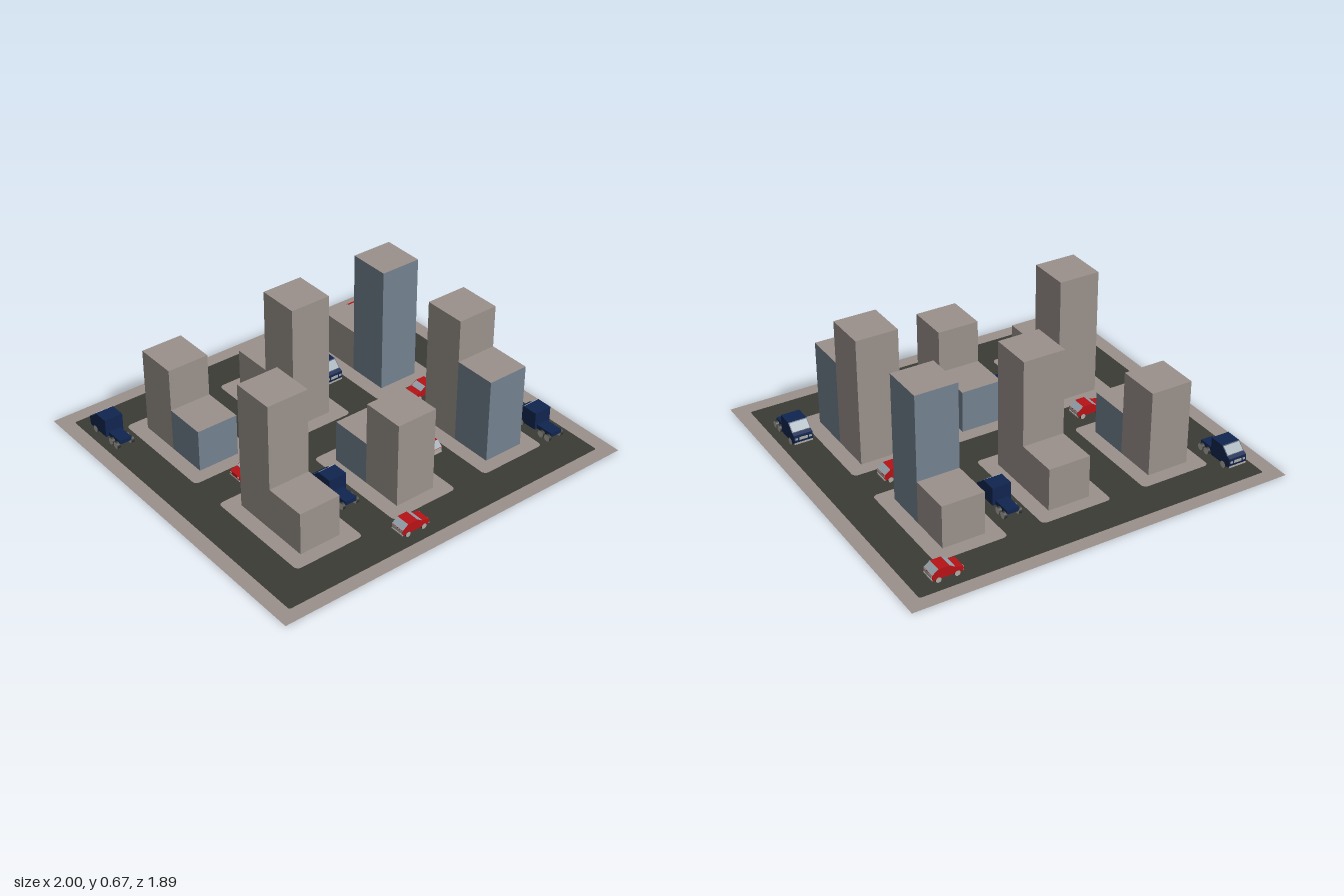
import * as THREE from 'three';

const mat = (name, color, extra = {}) => {
  const m = new THREE.MeshStandardMaterial({ color, ...extra });
  m.name = name;
  return m;
};

export function createModel() {
  const city = new THREE.Group();
  city.name = 'cityBlocks';

  const concrete = mat('concrete', 0x9a918b, { side: THREE.DoubleSide });
  const asphalt = mat('asphalt', 0x3b3b35, { side: THREE.DoubleSide });
  const blueGlass = mat('blueFacade', 0x73818f);
  const grass = mat('grass', 0x4f8230);
  const red = mat('carRed', 0xb81216);
  const navy = mat('truckNavy', 0x10254f);
  const glass = mat('windowGlass', 0x98a4ad);
  const chrome = mat('chrome', 0xaeaaa4);
  const rubber = mat('rubber', 0x33332f);

  const add = (parent, name, geometry, material, x = 0, y = 0, z = 0) => {
    const mesh = new THREE.Mesh(geometry, material);
    mesh.name = name;
    mesh.position.set(x, y, z);
    parent.add(mesh);
    return mesh;
  };
  const box = (w, h, d) => new THREE.BoxGeometry(w, h, d);

  // Rounded rectangle outline, centred on (cx, cy) with half sizes hx, hy
  const outline = (cx, cy, hx, hy, r, Type = THREE.Shape) => {
    const s = new Type();
    s.moveTo(cx - hx + r, cy - hy);
    [[1, -1, -90], [1, 1, 0], [-1, 1, 90], [-1, -1, 180]].forEach(([sx, sy, a]) => {
      const start = THREE.MathUtils.degToRad(a);
      s.absarc(cx + sx * (hx - r), cy + sy * (hy - r), r, start, start + Math.PI / 2, false);
    });
    s.closePath();
    return s;
  };
  const flat = (shape) => new THREE.ShapeGeometry(shape, 5).rotateX(-Math.PI / 2);

  // Ground: outer pavement ring, road, and six pavement islands side by side
  const columns = [-0.556, 0, 0.556], rows = [-0.39, 0.39];
  const pavement = outline(0, 0, 1, 0.945, 0.0005);
  pavement.holes.push(outline(0, 0, 0.924, 0.871, 0.01, THREE.Path));
  add(city, 'outerPavement', flat(pavement), concrete);

  const road = outline(0, 0, 0.924, 0.871, 0.01);
  columns.forEach((x) => rows.forEach((z) =>
    road.holes.push(outline(x, -z, 0.187, 0.297, 0.025, THREE.Path))));
  add(city, 'road', flat(road), asphalt);

  // Each block: [back, front] towers as [storeys, blue facade, grass underside]
  const storey = 0.2235, halfW = 0.11;
  const blocks = [
    [[[2, 0, 1], [1, 1, 1]], [[3, 0, 1], [1, 0, 0]]],
    [[[1, 0, 0], [3, 0, 0]], [[1, 1, 0], [2, 0, 1]]],
    [[[1, 0, 0], [3, 1, 0]], [[3, 0, 0], [2, 1, 0]]],
  ];
  columns.forEach((x, i) => rows.forEach((z, j) => {
    const block = new THREE.Group();
    block.name = 'block';
    block.position.set(x, 0, z);
    const island = outline(0, 0, 0.187, 0.297, 0.025);
    island.holes.push(outline(0, 0, halfW, storey, 0.0005, THREE.Path));
    add(block, 'islandPavement', flat(island), concrete);
    blocks[i][j].forEach(([storeys, blue, green], k) => {
      const h = storeys * storey;
      const wall = blue ? blueGlass : concrete;
      const faces = [wall, wall, concrete, green ? grass : concrete, wall, wall];
      add(block, 'tower', box(halfW * 2, h, storey), faces, 0, h / 2, (k - 0.5) * storey);
    });
    city.add(block);
  }));

  // Side profile (x forward, y up) extruded across the vehicle's width
  const body = (points, width) => new THREE.ExtrudeGeometry(
    new THREE.Shape(points.map(([x, y]) => new THREE.Vector2(x, y))),
    { depth: width, bevelEnabled: false }).translate(0, 0, -width / 2);

  // Thin pane lying along a sloped profile edge from p to q
  const pane = (parent, name, p, q, width, material) => {
    const length = Math.hypot(q[0] - p[0], q[1] - p[1]);
    const mesh = add(parent, name, box(length, 0.003, width), material,
      (p[0] + q[0]) / 2, (p[1] + q[1]) / 2, 0);
    mesh.rotation.z = Math.atan2(q[1] - p[1], q[0] - p[0]);
  };

  const wheelPair = (parent, x, r, width, spread) => {
    const geometry = new THREE.CylinderGeometry(r, r, width, 14).rotateX(Math.PI / 2);
    [-1, 1].forEach((s) => add(parent, 'wheel', geometry, [rubber, chrome, chrome], x, r, s * spread));
  };

  const makeCar = () => {
    const car = new THREE.Group();
    car.name = 'car';
    add(car, 'carBody', body([[-0.076, 0.018], [0.076, 0.018], [0.079, 0.03], [0.077, 0.042],
      [0.038, 0.05], [0.008, 0.07], [-0.046, 0.07], [-0.078, 0.046]], 0.076), red);
    pane(car, 'windshield', [0.037, 0.051], [0.008, 0.07], 0.07, glass);
    pane(car, 'rearWindow', [-0.046, 0.07], [-0.077, 0.047], 0.074, glass);
    add(car, 'tailPanel', box(0.003, 0.018, 0.072), chrome, -0.0775, 0.036, 0);
    add(car, 'rearBumper', box(0.006, 0.006, 0.076), chrome, -0.077, 0.021, 0);
    add(car, 'frontBumper', box(0.006, 0.007, 0.076), chrome, 0.077, 0.021, 0);
    [-1, 1].forEach((s) =>
      add(car, 'headlight', box(0.003, 0.007, 0.014), chrome, 0.079, 0.035, s * 0.027));
    [-0.046, 0.048].forEach((x) => wheelPair(car, x, 0.014, 0.012, 0.033));
    return car;
  };

  const makeTruck = () => {
    const truck = new THREE.Group();
    truck.name = 'truck';
    add(truck, 'truckCab', body([[-0.023, 0.022], [0.117, 0.022], [0.12, 0.04], [0.118, 0.07],
      [0.1, 0.078], [0.06, 0.116], [-0.023, 0.116]], 0.098), navy);
    add(truck, 'chassis', box(0.1, 0.022, 0.066), navy, -0.07, 0.034, 0);
    pane(truck, 'windshield', [0.098, 0.08], [0.064, 0.1125], 0.09, glass);
    add(truck, 'grille', box(0.003, 0.014, 0.044), chrome, 0.12, 0.05, 0);
    add(truck, 'frontBumper', box(0.006, 0.008, 0.098), chrome, 0.118, 0.026, 0);
    [-1, 1].forEach((s) =>
      add(truck, 'headlight', box(0.003, 0.01, 0.014), chrome, 0.12, 0.05, s * 0.036));
    [-0.105, -0.062].forEach((x) => wheelPair(truck, x, 0.018, 0.018, 0.039));
    wheelPair(truck, 0.072, 0.018, 0.014, 0.043);
    return truck;
  };

  // Traffic: x, z, heading
  const place = (make, list) => list.forEach(([x, z, heading]) => {
    const vehicle = make();
    vehicle.position.set(x, 0, z);
    vehicle.rotation.y = heading;
    city.add(vehicle);
  });
  const half = Math.PI / 2;
  place(makeCar, [[0.754, -0.781, Math.PI], [-0.505, 0, Math.PI], [0.57, 0, Math.PI],
    [-0.168, 0.777, 0], [0.275, 0.366, half]]);
  place(makeTruck, [[-0.834, -0.668, half], [0.275, -0.452, -half],
    [-0.281, 0.37, half], [0.829, 0.572, half]]);

  return city;
}
